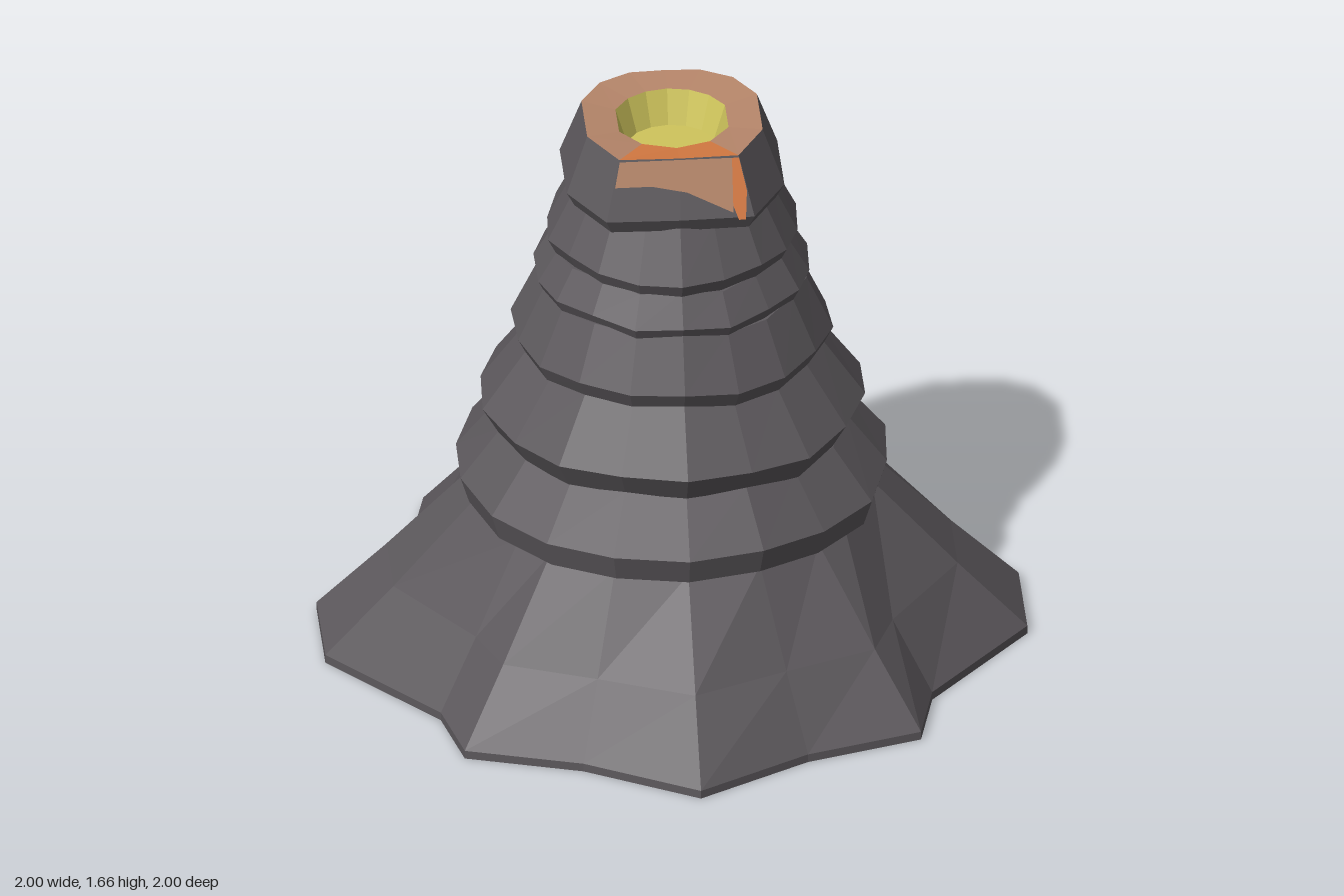
import * as THREE from 'three';

const rock = new THREE.MeshStandardMaterial({ color: 0x5d595d });
rock.name = 'dark rock';
const tan = new THREE.MeshStandardMaterial({ color: 0xb6866a });
tan.name = 'baked tan rock';
const orange = new THREE.MeshStandardMaterial({ color: 0xd67a42 });
orange.name = 'hot orange';
const yellow = new THREE.MeshStandardMaterial({ color: 0xcfc55c });
yellow.name = 'molten yellow';

// Skins a list of closed loops, lowest first; each loop runs from +z towards +x.
function loft(loops, capBottom, capTop) {
  const pos = [], n = loops[0].length;
  const tri = (...p) => p.forEach((v) => pos.push(...v));
  for (let k = 0; k < loops.length - 1; k++) {
    for (let i = 0; i < n; i++) {
      const j = (i + 1) % n, lo = loops[k], hi = loops[k + 1];
      tri(lo[i], lo[j], hi[j]);
      tri(lo[i], hi[j], hi[i]);
    }
  }
  const first = loops[0], last = loops[loops.length - 1];
  for (let i = 0; i < n; i++) {
    const j = (i + 1) % n;
    if (capBottom) tri([0, first[0][1], 0], first[j], first[i]);
    if (capTop) tri([0, last[0][1], 0], last[i], last[j]);
  }
  return flat(pos);
}

function flat(pos) {
  const g = new THREE.BufferGeometry();
  g.setAttribute('position', new THREE.Float32BufferAttribute(pos, 3));
  g.computeVertexNormals();
  return g;
}

// Mirrors a half outline (x >= 0) to a full loop of [x, z].
const mirrored = (half) => [...half,
  ...half.filter(([x]) => x > 0.001).reverse().map(([x, z]) => [-x, z])];

const atHeight = (outline, s, y) => outline.map(([x, z]) => [x * s, y, z * s]);

export function createModel() {
  const group = new THREE.Group();
  group.name = 'volcano';
  const add = (name, geometry, material) => {
    const mesh = new THREE.Mesh(geometry, material);
    mesh.name = name;
    group.add(mesh);
  };

  // Flared foot: a lobed outline that rounds off as it rises
  const foot = mirrored([[0, 1], [0.32, 0.82], [0.65, 0.72], [0.7, 0.5], [1, 0.15],
    [1, -0.15], [0.7, -0.5], [0.65, -0.71], [0.31, -0.83], [0, -1]]);
  const footLoop = (t, y) => foot.map(([x, z]) => {
    const k = 0.57 / Math.hypot(x, z);
    return [x * (1 - t + t * k), y, z * (1 - t + t * k)];
  });
  add('foot', loft([footLoop(0, 0.005), footLoop(0, 0.03), footLoop(0.45, 0.23),
    footLoop(1, 0.49)], true, true), rock);

  // Stacked rock tiers: [bottom y, widest y, top y, bottom r, widest r, top r]
  const tiers = [
    [0.48, 0.56, 0.71, 0.595, 0.62, 0.50],
    [0.70, 0.78, 0.96, 0.505, 0.55, 0.42],
    [0.95, 1.00, 1.16, 0.43, 0.455, 0.38],
    [1.15, 1.19, 1.28, 0.375, 0.395, 0.34],
    [1.27, 1.32, 1.47, 0.335, 0.36, 0.285],
  ];
  const sides = 18;
  tiers.forEach(([y0, y1, y2, r0, r1, r2], t) => {
    const ring = (r, y) => Array.from({ length: sides }, (_, i) => {
      const a = (i / sides) * Math.PI * 2;
      const k = r * (1 + 0.012 * Math.sin(i * 2.7 + t * 1.9));
      return [Math.sin(a) * k, y + 0.008 * Math.sin(i * 1.9 + t), Math.cos(a) * k];
    });
    add('rockTier' + (t + 1), loft([ring(r0, y0), ring(r1, y1), ring(r2, y2)], true, true), rock);
  });

  // Summit collar with a broad flat front
  const collar = mirrored([[0, 0.245], [0.17, 0.24], [0.25, 0.1], [0.25, -0.1],
    [0.19, -0.2], [0.1, -0.25], [0, -0.255]]);
  add('summitCollar', loft([atHeight(collar, 1.15, 1.455), atHeight(collar, 1.24, 1.5),
    atHeight(collar, 1, 1.67)], true, false), rock);

  // Crater rim, wall and molten pool
  const mouth = collar.map(([x, z]) => {
    const k = 0.168 / Math.hypot(x, z);
    return [x * k, z * k];
  });
  const rimOut = atHeight(collar, 1, 1.67), rimIn = atHeight(mouth, 1, 1.66);
  const rim = loft([rimOut, rimIn], false, false);
  // The two front segments of the rim glow
  const n = collar.length;
  rim.addGroup(0, 6, 1);
  rim.addGroup(6, (n - 2) * 6, 0);
  rim.addGroup((n - 1) * 6, 6, 1);
  add('craterRim', rim, [tan, orange]);
  add('craterWall', loft([rimIn, atHeight(mouth, 0.8, 1.56)], false, false), yellow);
  add('moltenPool', loft([atHeight(mouth, 0.8, 1.56), atHeight(mouth, 0.4, 1.56)], false, true), yellow);

  // Thin plates lying on the sloping front of the collar
  const frontPlate = (points) => {
    const shape = new THREE.Shape(points.map(([x, y]) => new THREE.Vector2(x, y)));
    const g = new THREE.ShapeGeometry(shape).toNonIndexed();
    const p = g.attributes.position;
    for (let i = 0; i < p.count; i++) p.setZ(i, 0.253 + (1.67 - p.getY(i)) * 0.35);
    g.computeVertexNormals();
    return g;
  };
  add('scorchedFront', frontPlate([[-0.17, 1.67], [-0.185, 1.6], [-0.08, 1.6], [0.02, 1.58],
    [0.15, 1.52], [0.15, 1.67]]), tan);
  add('lavaStreak', frontPlate([[0.15, 1.67], [0.15, 1.54], [0.165, 1.5], [0.185, 1.5],
    [0.19, 1.58], [0.17, 1.67]]), orange);

  return group;
}
